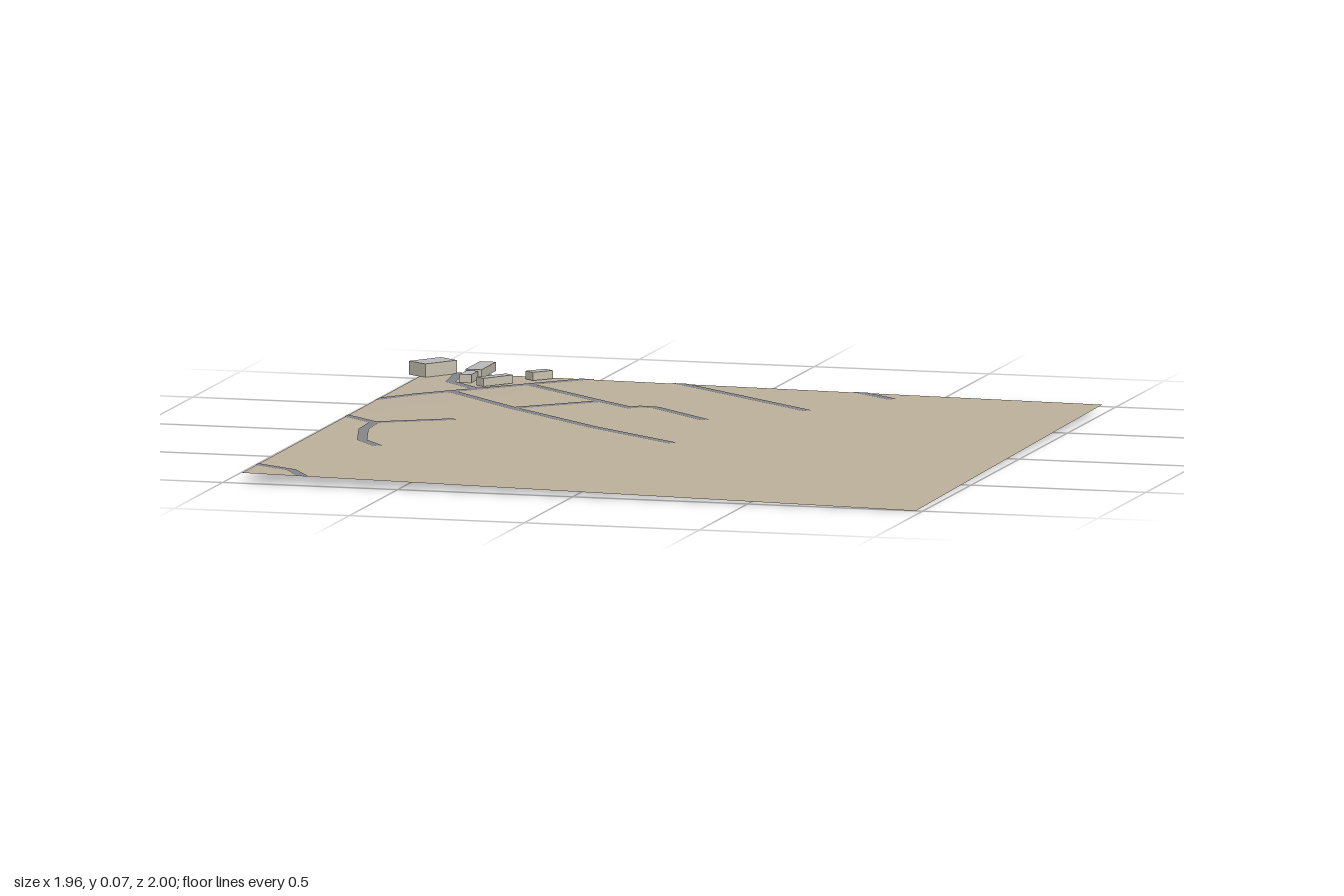
import * as THREE from 'three';

const X0 = -0.945, X1 = 0.98, Z0 = -0.93, Z1 = 1.0;
const ROAD_HALF = 0.014;

const material = (color, side = THREE.FrontSide) =>
  new THREE.MeshStandardMaterial({ color, side });

// Ground height: a gentle slope blended between the four corners
function groundHeight(x, z) {
  const u = (x - X0) / (X1 - X0), v = (z - Z0) / (Z1 - Z0);
  const back = THREE.MathUtils.lerp(0.031, 0.016, u);
  const front = THREE.MathUtils.lerp(0.029, 0.0, u);
  return THREE.MathUtils.lerp(back, front, v);
}

function makeGround() {
  const geo = new THREE.PlaneGeometry(X1 - X0, Z1 - Z0, 24, 24);
  geo.rotateX(-Math.PI / 2);
  geo.translate((X0 + X1) / 2, 0, (Z0 + Z1) / 2);
  const p = geo.attributes.position;
  for (let i = 0; i < p.count; i++) p.setY(i, groundHeight(p.getX(i), p.getZ(i)));
  geo.computeVertexNormals();
  const mesh = new THREE.Mesh(geo, material(0xbdb29d, THREE.DoubleSide));
  mesh.name = 'ground';
  return mesh;
}

// Slide a road corner along the road until it meets the plot edge
function trimToEdge(corner, centre, dir) {
  const near = (a, b) => Math.abs(a - b) < 1e-6;
  for (const [axis, edges] of [['x', [X0, X1]], ['y', [Z0, Z1]]]) {
    for (const e of edges) {
      if (near(centre[axis], e)) corner.addScaledVector(dir, (e - corner[axis]) / dir[axis]);
    }
  }
}

// Flat mitred ribbon draped over the ground
function makeRoad(path) {
  const pts = path.map(([x, z]) => new THREE.Vector2(x, z));
  const dirs = pts.slice(1).map((p, i) => p.clone().sub(pts[i]).normalize());
  const sides = pts.map((p, i) => {
    const a = dirs[Math.max(i - 1, 0)], b = dirs[Math.min(i, dirs.length - 1)];
    const t = a.clone().add(b).normalize();
    const half = ROAD_HALF / Math.max(t.dot(b), 0.5);
    const n = new THREE.Vector2(t.y, -t.x).multiplyScalar(half);
    const pair = [p.clone().add(n), p.clone().sub(n)];
    if (i === 0 || i === pts.length - 1) pair.forEach((c) => trimToEdge(c, p, b));
    return pair;
  });
  const verts = [], index = [];
  const push = ([l, r]) => {
    for (const c of [l, r]) verts.push(c.x, groundHeight(c.x, c.y) + 0.0015, c.y);
  };
  push(sides[0]);
  const steps = 6;
  for (let i = 1; i < sides.length; i++) {
    for (let s = 1; s <= steps; s++) {
      push([0, 1].map((k) => sides[i - 1][k].clone().lerp(sides[i][k], s / steps)));
      const n = verts.length / 3 - 4;
      index.push(n, n + 1, n + 2, n + 1, n + 3, n + 2);
    }
  }
  const geo = new THREE.BufferGeometry();
  geo.setAttribute('position', new THREE.Float32BufferAttribute(verts, 3));
  geo.setIndex(index);
  geo.computeVertexNormals();
  const mesh = new THREE.Mesh(geo, material(0x85878a, THREE.DoubleSide));
  mesh.name = 'road';
  return mesh;
}

// Block building whose long side follows the direction (dx, dz)
function makeBuilding({ at: [x, z], width, length, dir: [dx, dz], top }) {
  const base = 0.03;
  const wall = material(0xccc5b5), roof = material(0xbbbbbb);
  const mesh = new THREE.Mesh(
    new THREE.BoxGeometry(width, top - base, length),
    [wall, wall, roof, wall, wall, wall]
  );
  mesh.position.set(x, (top + base) / 2, z);
  mesh.rotation.y = Math.atan2(dx, dz);
  mesh.name = 'building';
  return mesh;
}

export function createModel() {
  const model = new THREE.Group();
  model.name = 'terrainWithRoads';
  model.add(makeGround());

  const roads = new THREE.Group();
  roads.name = 'roads';
  const paths = [
    // Main street and its side lane
    [[-0.49, Z0], [-0.79, -0.6], [-0.862, -0.52], [X0, -0.4]],
    [[-0.855, Z0], [-0.836, -0.765], [-0.735, -0.664]],
    // Long streets running toward the middle, with their link
    [[-0.61, -0.78], [-0.35, -0.558], [-0.245, -0.474], [-0.22, -0.5], [-0.177, -0.497], [0.01, -0.33]],
    [[-0.35, -0.558], [-0.548, -0.364]],
    [[-0.79, -0.6], [-0.548, -0.364], [-0.249, -0.108], [0.035, 0.093]],
    // Stubs from the back edge
    [[-0.228, Z0], [0.236, -0.574]],
    [[0.286, Z0], [0.405, -0.84]],
    // Fork and corner lane on the right edge
    [[X0, -0.082], [-0.841, 0.008], [-0.646, -0.119]],
    [[-0.841, 0.008], [-0.836, 0.135], [-0.788, 0.325], [-0.72, 0.41]],
    [[X0, 0.844], [-0.83, 0.907], [-0.772, Z1]],
  ];
  paths.forEach((p) => roads.add(makeRoad(p)));
  model.add(roads);

  const buildings = new THREE.Group();
  buildings.name = 'buildings';
  [
    { at: [-0.922, -0.895], width: 0.072, length: 0.112, dir: [-13, 18], top: 0.068 },
    { at: [-0.794, -0.924], width: 0.046, length: 0.152, dir: [0, 1], top: 0.055 },
    { at: [-0.794, -0.803], width: 0.033, length: 0.072, dir: [0, 1], top: 0.053 },
    { at: [-0.709, -0.762], width: 0.033, length: 0.103, dir: [-11.5, 15.5], top: 0.053 },
    { at: [-0.617, -0.889], width: 0.036, length: 0.066, dir: [-8.5, 10], top: 0.053 },
  ].forEach((b) => buildings.add(makeBuilding(b)));
  model.add(buildings);

  return model;
}
